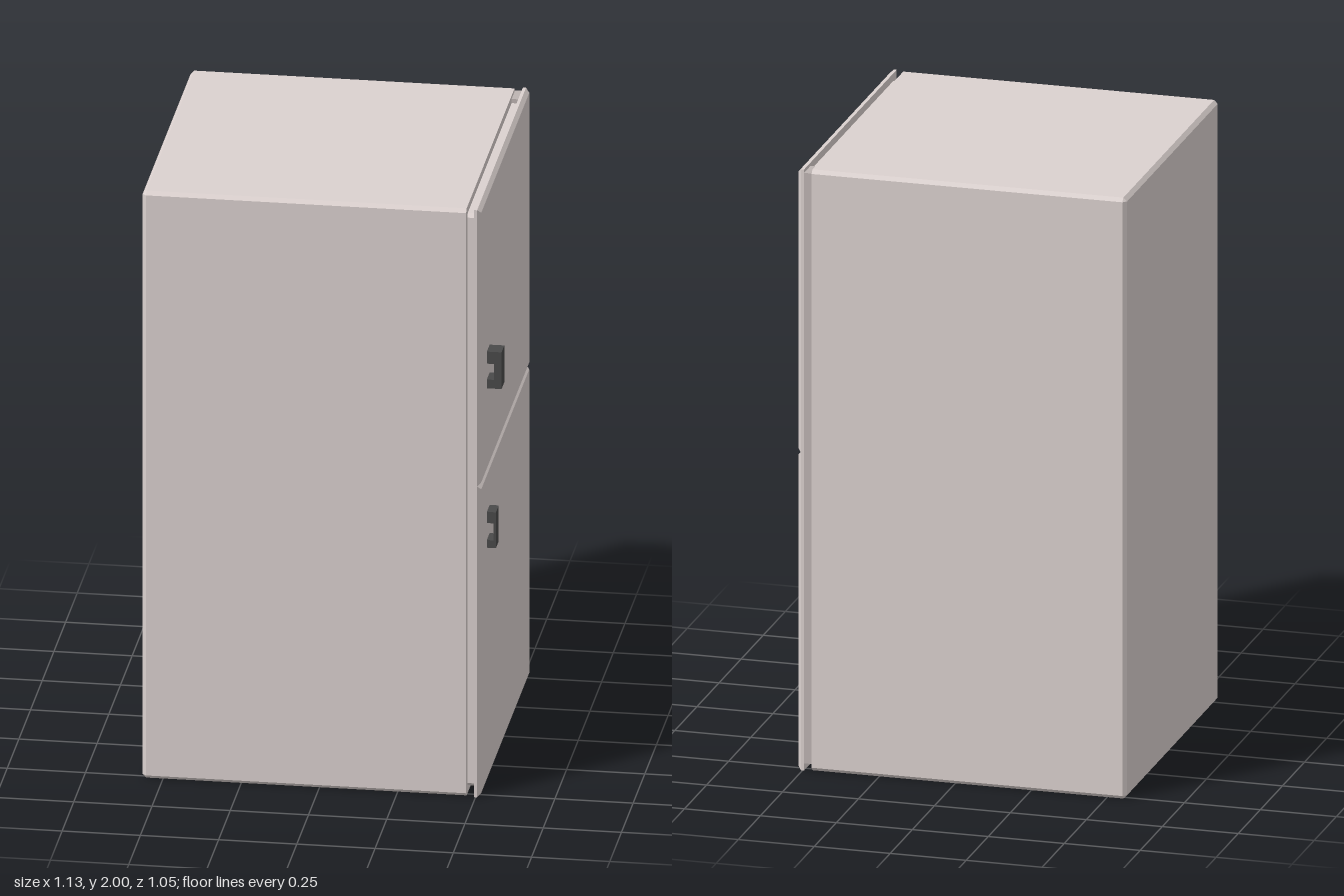
import * as THREE from 'three';

const shellMat = new THREE.MeshStandardMaterial({ color: 0xdbd1cf, flatShading: true });
const hingeMat = new THREE.MeshStandardMaterial({ color: 0xbdb4b2, flatShading: true });
const handleMat = new THREE.MeshStandardMaterial({ color: 0x4a4a4a, flatShading: true });

// Slab lofted along x through cut-corner rectangles.
// Each ring is [x, inset from the edges, corner cut].
function loftSlab(y0, y1, z0, z1, rings) {
  const loops = rings.map(([x, inset, cut]) => {
    const a = y0 + inset, b = y1 - inset, c = z0 + inset, d = z1 - inset;
    return [
      [b, c + cut], [b, d - cut], [b - cut, d], [a + cut, d],
      [a, d - cut], [a, c + cut], [a + cut, c], [b - cut, c],
    ].map(([y, z]) => [x, y, z]);
  });
  const positions = [];
  const tri = (...pts) => pts.forEach((p) => positions.push(...p));
  for (let i = 0; i < loops.length - 1; i++) {
    const lo = loops[i], hi = loops[i + 1];
    for (let j = 0; j < 8; j++) {
      const k = (j + 1) % 8;
      tri(lo[j], lo[k], hi[k]);
      tri(lo[j], hi[k], hi[j]);
    }
  }
  const first = loops[0], last = loops[loops.length - 1];
  for (let j = 1; j < 7; j++) {
    tri(first[0], first[j + 1], first[j]);
    tri(last[0], last[j], last[j + 1]);
  }
  const geometry = new THREE.BufferGeometry();
  geometry.setAttribute('position', new THREE.Float32BufferAttribute(positions, 3));
  geometry.computeVertexNormals();
  return geometry;
}

// C-shaped pull: a grip bar on two stubs, extruded across z
function pullGeometry(y0, y1, depth, grip, holeLow, holeHigh) {
  const shape = new THREE.Shape([
    [0, y0], [depth, y0], [depth, y1], [0, y1],
    [0, holeHigh], [depth - grip, holeHigh], [depth - grip, holeLow], [0, holeLow],
  ].map(([x, y]) => new THREE.Vector2(x, y)));
  return new THREE.ExtrudeGeometry(shape, { depth: 0.06, bevelEnabled: false }).translate(0.517, 0, 0.336);
}

export function createModel() {
  const group = new THREE.Group();
  const add = (name, geometry, material) => {
    const mesh = new THREE.Mesh(geometry, material);
    mesh.name = name;
    group.add(mesh);
  };
  const bevel = 0.012, halfZ = 0.525, split = 1.058;

  // Cabinet, chamfered everywhere except where the doors close
  add('cabinet', loftSlab(0, 2, -halfZ, halfZ,
    [[-0.565, bevel, 0], [-0.565 + bevel, 0, bevel], [0.47, 0, bevel]]), shellMat);

  // Recessed seal between cabinet and doors
  add('doorSeal', loftSlab(0.025, 1.975, -0.5, 0.5,
    [[0.469, 0, bevel], [0.496, 0, bevel]]), shellMat);

  // Hinge strip along the rear edge
  add('hingeStrip', new THREE.BoxGeometry(0.027, 1.965, 0.074).translate(0.4825, 1.0065, -0.487), hingeMat);

  // Doors with chamfered outer edges
  for (const [name, y0, y1] of [['lowerDoor', 0, split], ['upperDoor', split, 2]]) {
    add(name, loftSlab(y0, y1, -halfZ, halfZ,
      [[0.495, 0, 0], [0.517 - bevel, 0, 0], [0.517, bevel, 0]]), shellMat);
  }

  // Handles
  add('upperHandle', pullGeometry(1.343, 1.468, 0.047, 0.024, 1.373, 1.427), handleMat);
  add('lowerHandle', pullGeometry(0.8, 0.922, 0.029, 0.008, 0.826, 0.884), handleMat);

  return group;
}
